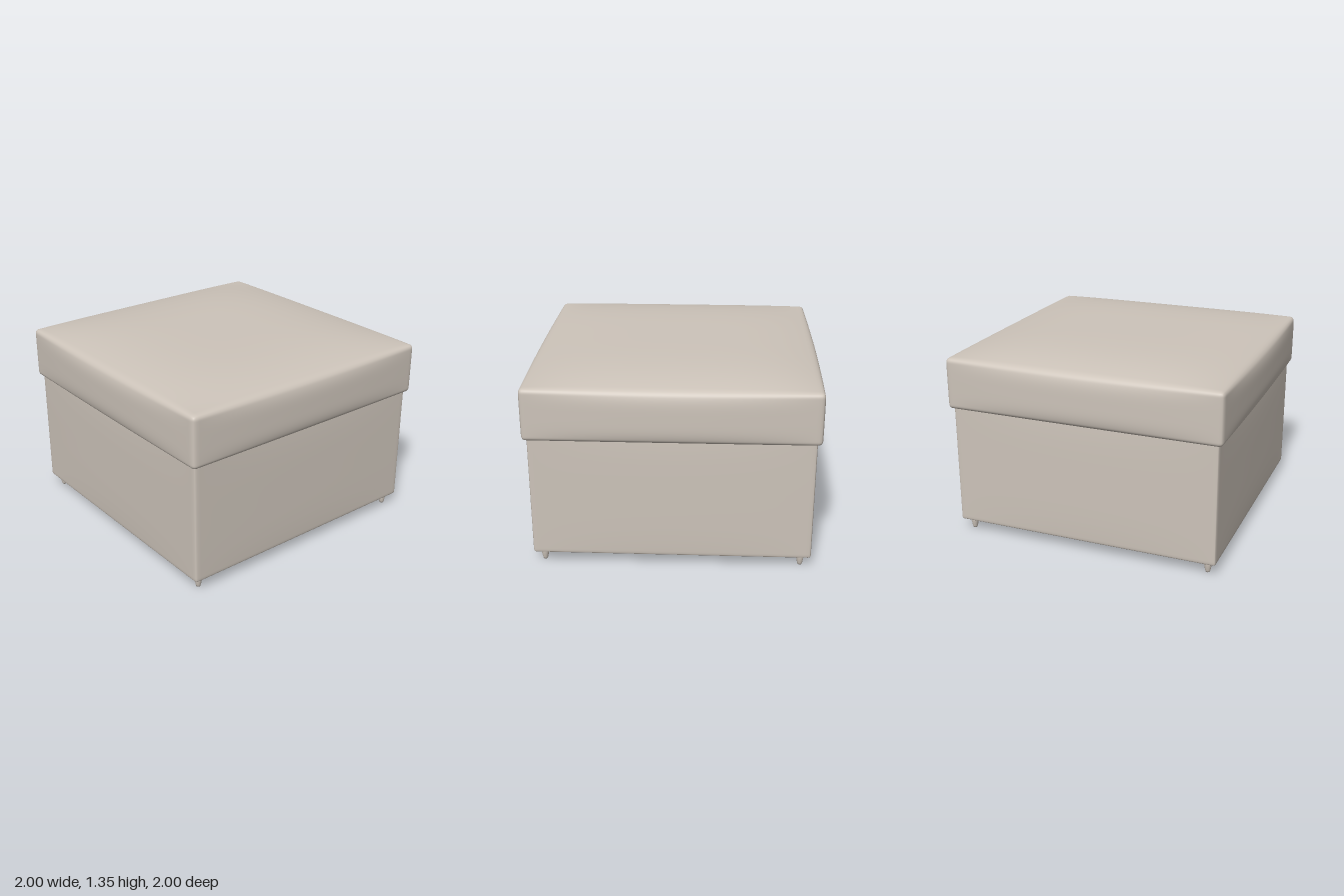
import * as THREE from 'three';
import { mergeVertices } from 'three/addons/utils/BufferGeometryUtils.js';

const fabric = new THREE.MeshStandardMaterial({ color: 0xcdc4ba });
fabric.name = 'beige fabric';

// Rounded box whose sides, top and bottom swell outwards in the middle
function puffyBox(half, radius, swell, segments) {
  const geo = new THREE.BoxGeometry(2, 2, 2, segments, segments, segments);
  geo.deleteAttribute('uv');
  geo.deleteAttribute('normal');
  const merged = mergeVertices(geo, 1e-5);
  const pos = merged.attributes.position;
  const inner = half.clone().subScalar(radius);
  const p = new THREE.Vector3(), core = new THREE.Vector3();
  for (let i = 0; i < pos.count; i++) {
    // crowd the grid towards the edges, then round them
    p.fromBufferAttribute(pos, i);
    p.set(...p.toArray().map((c) => Math.sin(c * Math.PI / 2))).multiply(half);
    core.copy(p).clamp(inner.clone().negate(), inner);
    p.sub(core).setLength(radius).add(core);
    const u = p.x / half.x, v = p.y / half.y, w = p.z / half.z;
    const tall = 1 - v ** 4;
    p.x += Math.sign(u) * u ** 4 * swell.side * tall * (1 - w * w);
    p.z += Math.sign(w) * w ** 4 * swell.side * tall * (1 - u * u);
    const dome = (1 - u ** 4) * (1 - w ** 4) * v * v;
    p.y += dome * (v > 0 ? swell.top : -swell.bottom);
    pos.setXYZ(i, p.x, p.y, p.z);
  }
  merged.computeVertexNormals();
  return merged;
}

export function createModel() {
  const model = new THREE.Group();
  model.name = 'ottoman';
  const add = (name, geometry, x, y, z) => {
    const mesh = new THREE.Mesh(geometry, fabric);
    mesh.name = name;
    mesh.position.set(x, y, z);
    model.add(mesh);
  };

  // Upholstered body
  add('base', puffyBox(new THREE.Vector3(0.943, 0.435, 0.943), 0.018,
    { side: 0.007, top: 0, bottom: 0.01 }, 32), 0, 0.515, 0);

  // Overhanging cushion with a domed top
  add('cushion', puffyBox(new THREE.Vector3(0.972, 0.18, 0.972), 0.03,
    { side: 0.028, top: 0.06, bottom: 0 }, 40), 0, 1.105, 0);

  // Small tapered feet
  const foot = new THREE.LatheGeometry([
    [0, 0], [0.014, 0], [0.018, 0.012], [0.026, 0.055], [0.026, 0.09], [0, 0.09],
  ].map(([x, y]) => new THREE.Vector2(x, y)), 16);
  for (const x of [-0.875, 0.875]) {
    for (const z of [-0.875, 0.875]) add('foot', foot, x, 0, z);
  }
  return model;
}
